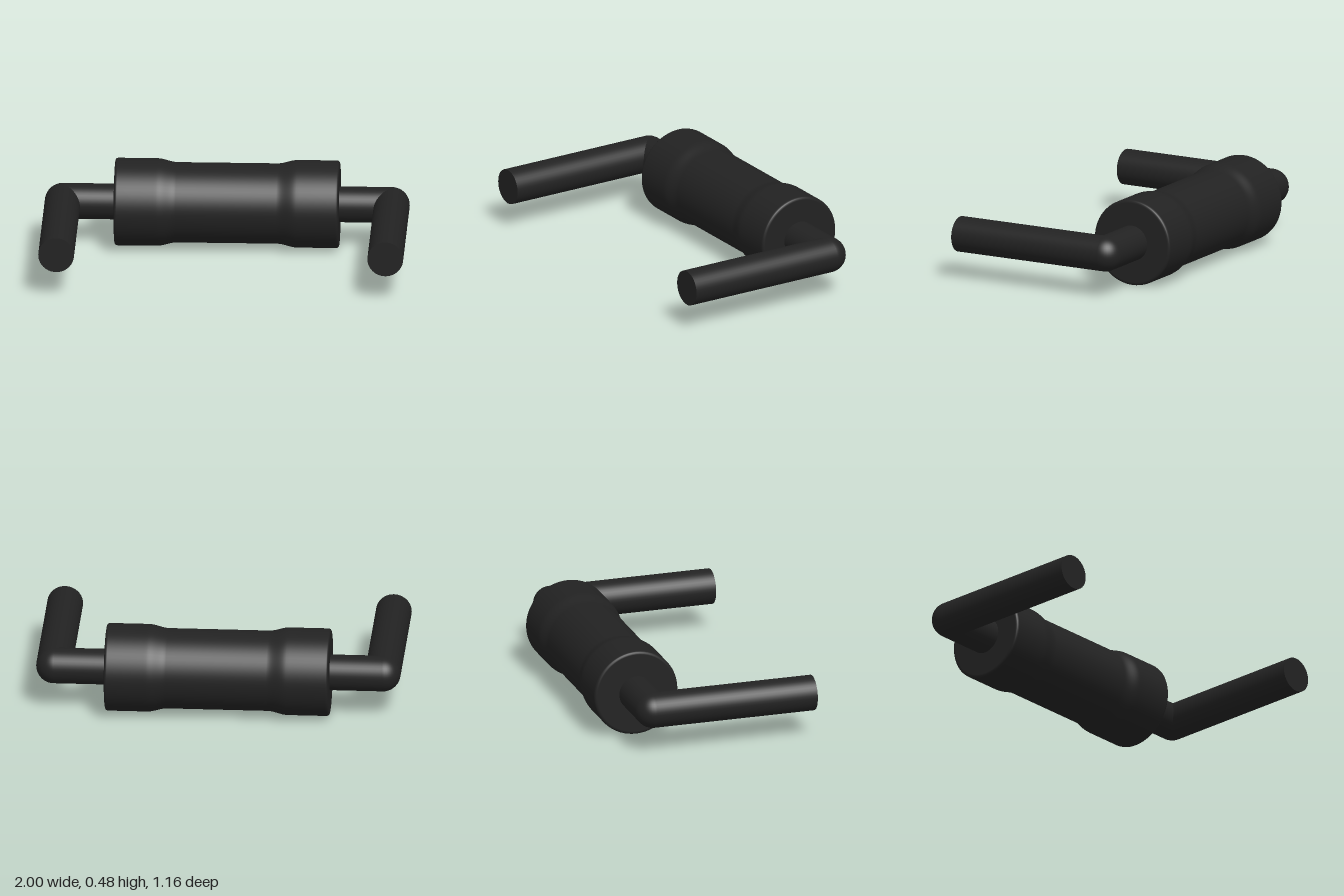
import * as THREE from 'three';

const AXIS_Y = 0.24, AXIS_Z = -0.34;   // centre line of the body
const END = 0.615, R = 0.24, WAIST = 0.22;
const LEAD_R = 0.098, LEAD_X = 0.902, LEAD_FRONT = 0.58;

export function createModel() {
  const model = new THREE.Group();
  model.name = 'axialComponent';
  const material = new THREE.MeshStandardMaterial({ color: 0x222222 });

  const add = (name, geometry, x, y, z) => {
    const mesh = new THREE.Mesh(geometry, material);
    mesh.name = name;
    mesh.position.set(x, y, z);
    model.add(mesh);
    return mesh;
  };

  // Half profile of the body from waist to end: [radius, distance along axis]
  const half = [[WAIST, 0.275]];
  for (let i = 1; i <= 10; i++) {
    const t = i / 10;
    half.push([WAIST + (R - WAIST) * t * t * (3 - 2 * t), 0.275 + 0.11 * t]);
  }
  half.push([R, 0.4], [R, END - 0.016]);
  // Small rounded rim, then the flat end face
  for (let i = 1; i <= 4; i++) {
    const a = (i / 4) * Math.PI / 2;
    half.push([R - 0.015 + 0.015 * Math.cos(a), END - 0.015 + 0.015 * Math.sin(a)]);
  }
  half.push([R - 0.017, END], [0, END]);

  const profile = [
    ...half.slice().reverse().map(([r, d]) => new THREE.Vector2(r, -d)),
    ...half.map(([r, d]) => new THREE.Vector2(r, d)),
  ];
  const body = new THREE.LatheGeometry(profile, 64).rotateZ(Math.PI / 2);
  add('body', body, 0, AXIS_Y, AXIS_Z);

  // Bent wire lead on each side: stub, round elbow and long forward leg
  for (const [side, s] of [['left', 1], ['right', -1]]) {
    const stubLength = LEAD_X - END + 0.01;
    const stub = new THREE.CylinderGeometry(LEAD_R, LEAD_R, stubLength, 40, 1, true).rotateZ(Math.PI / 2);
    add(side + 'LeadStub', stub, s * (LEAD_X - stubLength / 2), AXIS_Y, AXIS_Z);

    add(side + 'LeadElbow', new THREE.SphereGeometry(LEAD_R, 40, 24), s * LEAD_X, AXIS_Y, AXIS_Z);

    const legLength = LEAD_FRONT - AXIS_Z;
    const leg = new THREE.CylinderGeometry(LEAD_R, LEAD_R, legLength, 40).rotateX(Math.PI / 2);
    add(side + 'LeadLeg', leg, s * LEAD_X, AXIS_Y, (LEAD_FRONT + AXIS_Z) / 2);
  }
  return model;
}
